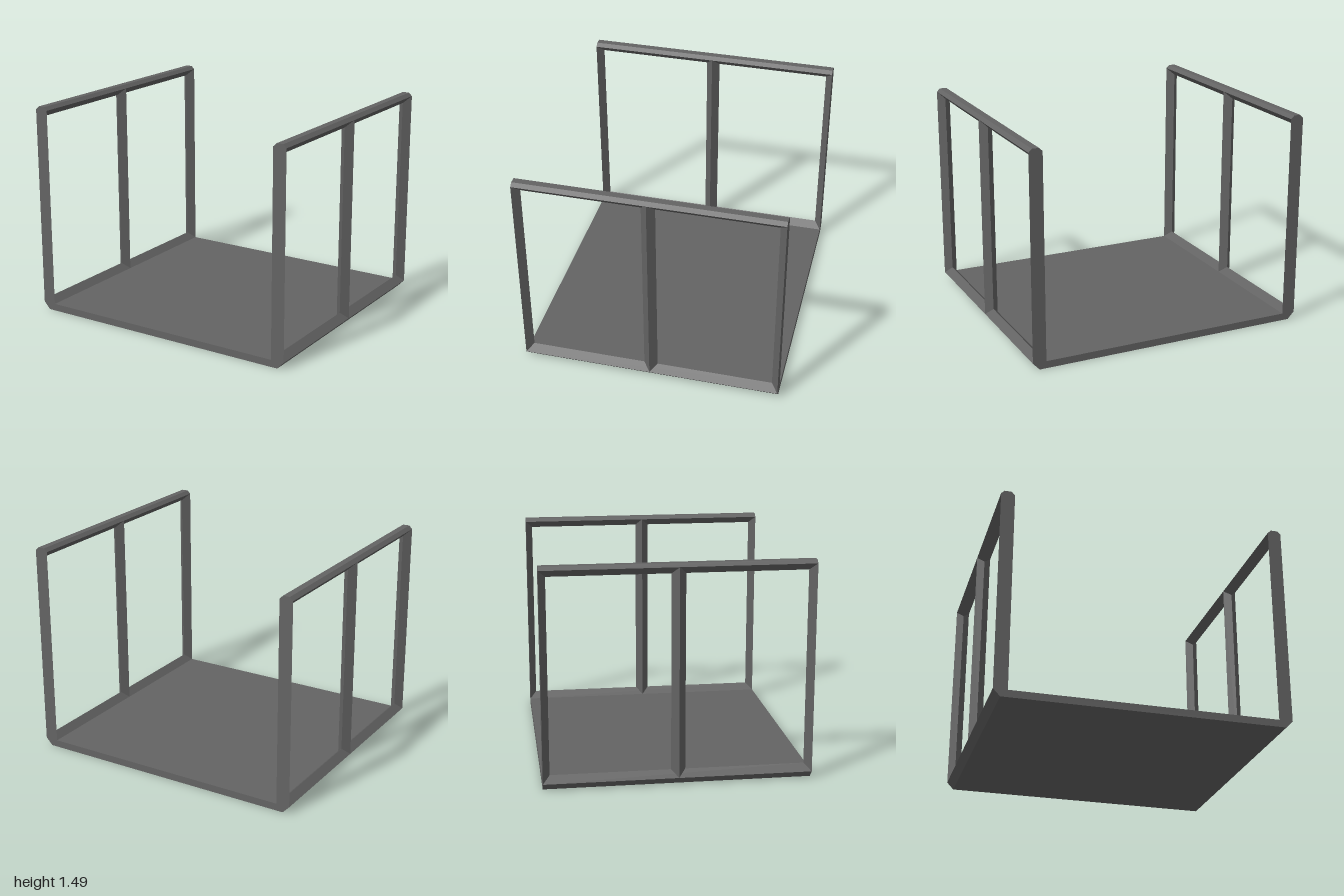
import * as THREE from 'three';

const DEPTH = 1.8;     // front to back
const MID = 0.9525;    // centre line of each side frame
const R = 0.0475;      // half width of a frame bar
const LOW = 0.05;      // floor surface
const HIGH = 1.47;     // widest level of the top rail
const TOP = 1.493;     // top of the frames

const material = new THREE.MeshStandardMaterial({ color: 0x636363 });

function extrude(name, points, depth) {
  const shape = new THREE.Shape(points.map(([x, y]) => new THREE.Vector2(x, y)));
  const geometry = new THREE.ExtrudeGeometry(shape, { depth, bevelEnabled: false });
  const mesh = new THREE.Mesh(geometry, material);
  mesh.name = name;
  return mesh;
}

// Profile in x/y running along z
function rail(name, points) {
  const mesh = extrude(name, points, DEPTH);
  mesh.geometry.translate(0, 0, -DEPTH / 2);
  return mesh;
}

// Profile in x/z standing upright between sill and top rail
function post(name, points) {
  const mesh = extrude(name, points.map(([x, z]) => [x, -z]), HIGH - LOW);
  mesh.geometry.rotateX(-Math.PI / 2);
  mesh.geometry.translate(0, LOW, 0);
  return mesh;
}

export function createModel() {
  const model = new THREE.Group();
  model.name = 'openFrameBay';

  // Floor slab with ridged sills and chamfered lower edges
  const half = [[MID, 0], [1, LOW], [MID, LOW + R], [MID - R, LOW]];
  const mirrored = half.map(([x, y]) => [-x, y]).reverse();
  model.add(rail('floor', [...half, ...mirrored]));

  for (const s of [1, -1]) {
    const frame = new THREE.Group();
    frame.name = s > 0 ? 'leftFrame' : 'rightFrame';
    const c = s * MID;

    // Top rail: chamfered above, V-shaped below
    frame.add(rail('topRail', [
      [c, HIGH - R], [c + R, HIGH], [c + R / 2, TOP], [c - R / 2, TOP], [c - R, HIGH],
    ]));

    // Diamond post in the middle
    frame.add(post('middlePost', [[c + R, 0], [c, R], [c - R, 0], [c, -R]]));

    // Triangular end posts, flat face outward
    for (const e of [1, -1]) {
      const z = e * DEPTH / 2;
      frame.add(post(e > 0 ? 'frontPost' : 'backPost', [[c + R, z], [c - R, z], [c, z - e * R]]));
    }
    model.add(frame);
  }
  return model;
}
